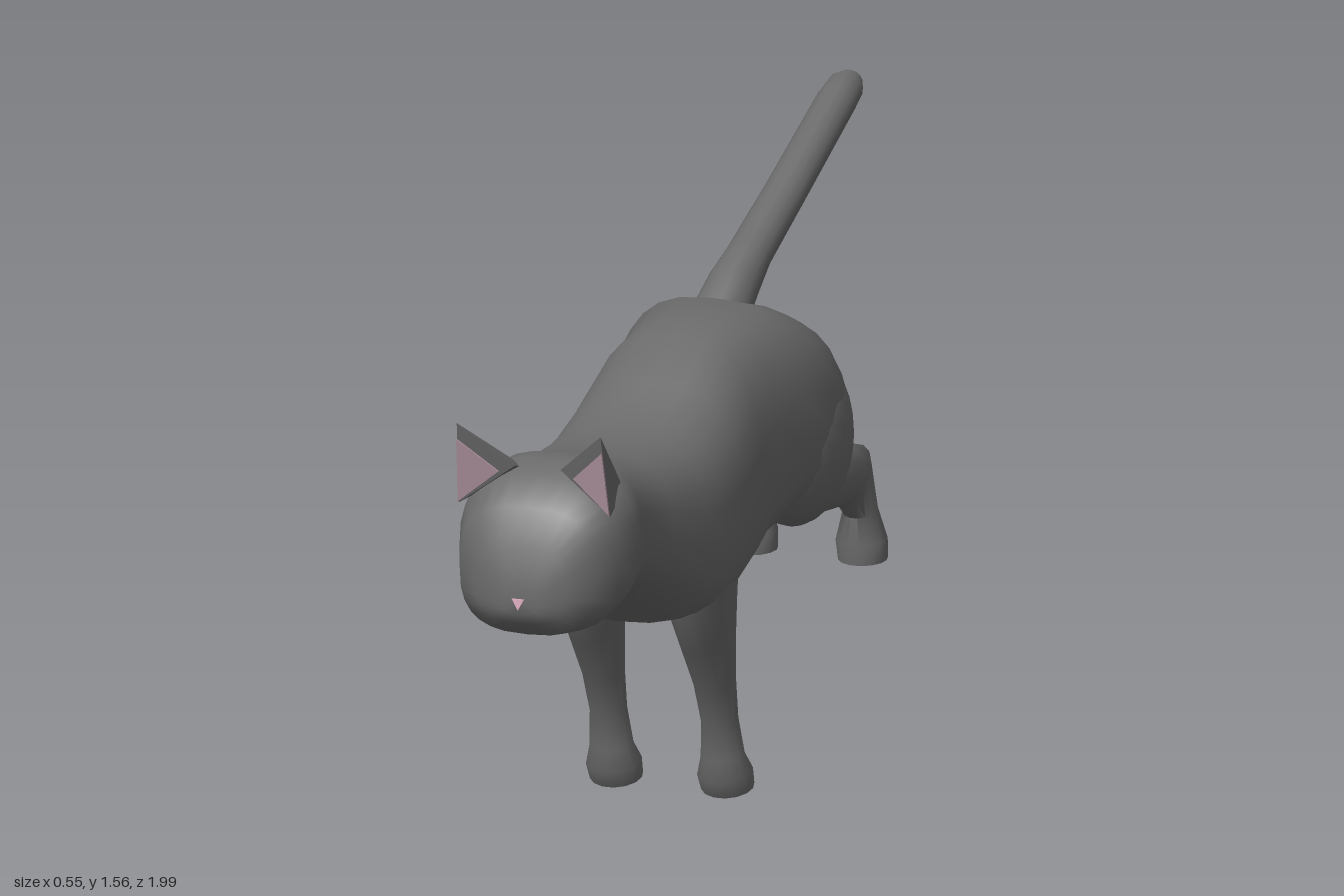
import * as THREE from 'three';
import { toCreasedNormals } from 'three/addons/utils/BufferGeometryUtils.js';
import { ConvexGeometry } from 'three/addons/geometries/ConvexGeometry.js';

const V = (x, y, z) => new THREE.Vector3(x, y, z);

// Closed skin over a list of rings, capped at both ends
function loft(rings, crease = 0.9) {
  const n = rings[0].length, pos = [], idx = [];
  rings.forEach(r => r.forEach(p => pos.push(p.x, p.y, p.z)));
  for (let i = 0; i < rings.length - 1; i++) {
    for (let j = 0; j < n; j++) {
      const k = (j + 1) % n;
      const a = i * n + j, b = i * n + k, d = a + n, c = b + n;
      idx.push(a, d, b, b, d, c);
    }
  }
  [0, rings.length - 1].forEach((r, end) => {
    const centre = rings[r].reduce((s, p) => s.add(p), V(0, 0, 0)).divideScalar(n);
    const ci = pos.length / 3;
    pos.push(centre.x, centre.y, centre.z);
    for (let j = 0; j < n; j++) {
      const a = r * n + j, b = r * n + (j + 1) % n;
      if (end) idx.push(ci, b, a);
      else idx.push(ci, a, b);
    }
  });
  const g = new THREE.BufferGeometry();
  g.setAttribute('position', new THREE.Float32BufferAttribute(pos, 3));
  g.setIndex(idx);
  return toCreasedNormals(g, crease);
}

const pw = (v, e) => Math.sign(v) * Math.pow(Math.abs(v), e);

// Upright rounded-box section: z, bottom, widest height, top, half width
function section([z, bottom, mid, top, w], sides = 28) {
  return Array.from({ length: sides }, (_, j) => {
    const a = j / sides * Math.PI * 2, s = Math.sin(a);
    return V(w * pw(Math.cos(a), 0.72), mid + (s > 0 ? top - mid : mid - bottom) * pw(s, 0.72), z);
  });
}

// Limb along a path of [z, y, x radius, radius across the path]
function limb(x, path, sides = 14) {
  return loft(path.map(([z, y, rx, rn], i) => {
    const p = path[Math.max(i - 1, 0)], q = path[Math.min(i + 1, path.length - 1)];
    const t = V(0, q[1] - p[1], q[0] - p[0]).normalize();
    return Array.from({ length: sides }, (_, j) => {
      const a = j / sides * Math.PI * 2, s = Math.sin(a) * rn;
      return V(x + Math.cos(a) * rx, y - t.z * s, z + t.y * s);
    });
  }));
}

export function createModel() {
  const group = new THREE.Group();
  const material = (name, color) => {
    const m = new THREE.MeshStandardMaterial({ color });
    m.name = name;
    return m;
  };
  const fur = material('greyFur', 0x6a6a6a);
  const earPink = material('earPink', 0xb094a0);
  const nosePink = material('nosePink', 0xe0b0c2);
  const add = (name, geometry, mat) => {
    const m = new THREE.Mesh(geometry, mat);
    m.name = name;
    group.add(m);
    return m;
  };

  // Head, neck, trunk and rump in one skin
  add('headAndBody', loft([
    [0.995, 0.625, 0.655, 0.69, 0.05],
    [0.98, 0.6, 0.69, 0.79, 0.12],
    [0.94, 0.565, 0.72, 0.88, 0.18],
    [0.87, 0.56, 0.74, 0.945, 0.212],
    [0.8, 0.585, 0.76, 0.97, 0.226],
    [0.74, 0.61, 0.77, 0.975, 0.215],
    [0.67, 0.625, 0.77, 0.96, 0.2],
    [0.56, 0.575, 0.74, 0.945, 0.222],
    [0.4, 0.485, 0.69, 0.952, 0.246],
    [0.32, 0.475, 0.67, 0.975, 0.25],
    [0.2, 0.485, 0.68, 1.035, 0.248],
    [0.07, 0.53, 0.72, 1.125, 0.238],
    [-0.03, 0.575, 0.77, 1.147, 0.232],
    [-0.16, 0.62, 0.83, 1.17, 0.258],
    [-0.27, 0.64, 0.84, 1.14, 0.27],
    [-0.36, 0.65, 0.84, 1.1, 0.262],
    [-0.43, 0.66, 0.83, 1.04, 0.24],
    [-0.485, 0.68, 0.82, 0.965, 0.2],
    [-0.505, 0.71, 0.82, 0.91, 0.15],
  ].map(s => section(s)), 1.2), fur);

  // Tail rising backwards
  add('tail', limb(0, [
    [-0.18, 1.1, 0.075, 0.06], [-0.29, 1.18, 0.064, 0.062], [-0.38, 1.232, 0.056, 0.05],
    [-0.6, 1.345, 0.053, 0.046], [-0.9, 1.505, 0.05, 0.045], [-0.955, 1.53, 0.045, 0.042],
    [-0.985, 1.542, 0.03, 0.026],
  ]), fur);

  for (const s of [1, -1]) {
    const side = s > 0 ? 'left' : 'right';

    // Front leg with tilted paw
    add(side + 'FrontLeg', limb(s * 0.147, [
      [0.25, 0.62, 0.09, 0.13], [0.225, 0.5, 0.075, 0.115], [0.2, 0.42, 0.066, 0.088],
      [0.157, 0.3, 0.05, 0.06], [0.128, 0.2, 0.045, 0.047], [0.11, 0.11, 0.055, 0.046],
      [0.096, 0.065, 0.069, 0.064], [0.08, 0.025, 0.067, 0.056],
    ]), fur);

    // Thigh
    const thigh = add(side + 'Thigh', new THREE.SphereGeometry(1, 24, 16), fur);
    thigh.scale.set(0.125, 0.215, 0.205);
    thigh.position.set(s * 0.152, 0.805, -0.315);

    // Hind leg stretched back, paw hanging
    add(side + 'HindLeg', limb(s * 0.145, [
      [-0.22, 0.69, 0.08, 0.05], [-0.34, 0.69, 0.085, 0.09], [-0.48, 0.672, 0.07, 0.083],
      [-0.58, 0.66, 0.056, 0.08], [-0.655, 0.645, 0.05, 0.083], [-0.712, 0.545, 0.044, 0.042],
      [-0.722, 0.47, 0.066, 0.05], [-0.73, 0.42, 0.062, 0.053],
    ]), fur);

    // Pointed ear with a thin pink inner plate
    const tip = V(s * 0.19, 1.07, 0.935), inner = V(s * 0.06, 0.965, 0.88);
    const outer = V(s * 0.2, 0.865, 0.9), back = V(s * 0.17, 0.9, 0.75);
    const crown = V(s * 0.08, 0.94, 0.78);
    add(side + 'Ear', new ConvexGeometry([tip, inner, outer, back, crown]), fur);
    const mix = (a, b, c) => V(0, 0, 0).addScaledVector(tip, a)
      .addScaledVector(inner, b).addScaledVector(outer, c);
    const lining = [mix(0.8, 0, 0.2), mix(0.06, 0.72, 0.22), mix(0.02, 0, 0.98)];
    add(side + 'EarLining', new ConvexGeometry(
      lining.concat(lining.map(p => p.clone().add(V(0, 0, 0.006))))), earPink);
  }

  // Small triangular nose
  const nose = [V(-0.016, 0.664, 0.991), V(0.016, 0.664, 0.991), V(0, 0.636, 0.991)];
  add('nose', new ConvexGeometry(
    nose.concat(nose.map(p => p.clone().add(V(0, 0, 0.009))))), nosePink);

  // Pink patch under the tail
  const patch = add('patchUnderTail', new THREE.BoxGeometry(0.04, 0.009, 0.04), nosePink);
  patch.position.set(0, 1.085, -0.378);
  patch.rotation.x = -0.66;

  return group;
}
